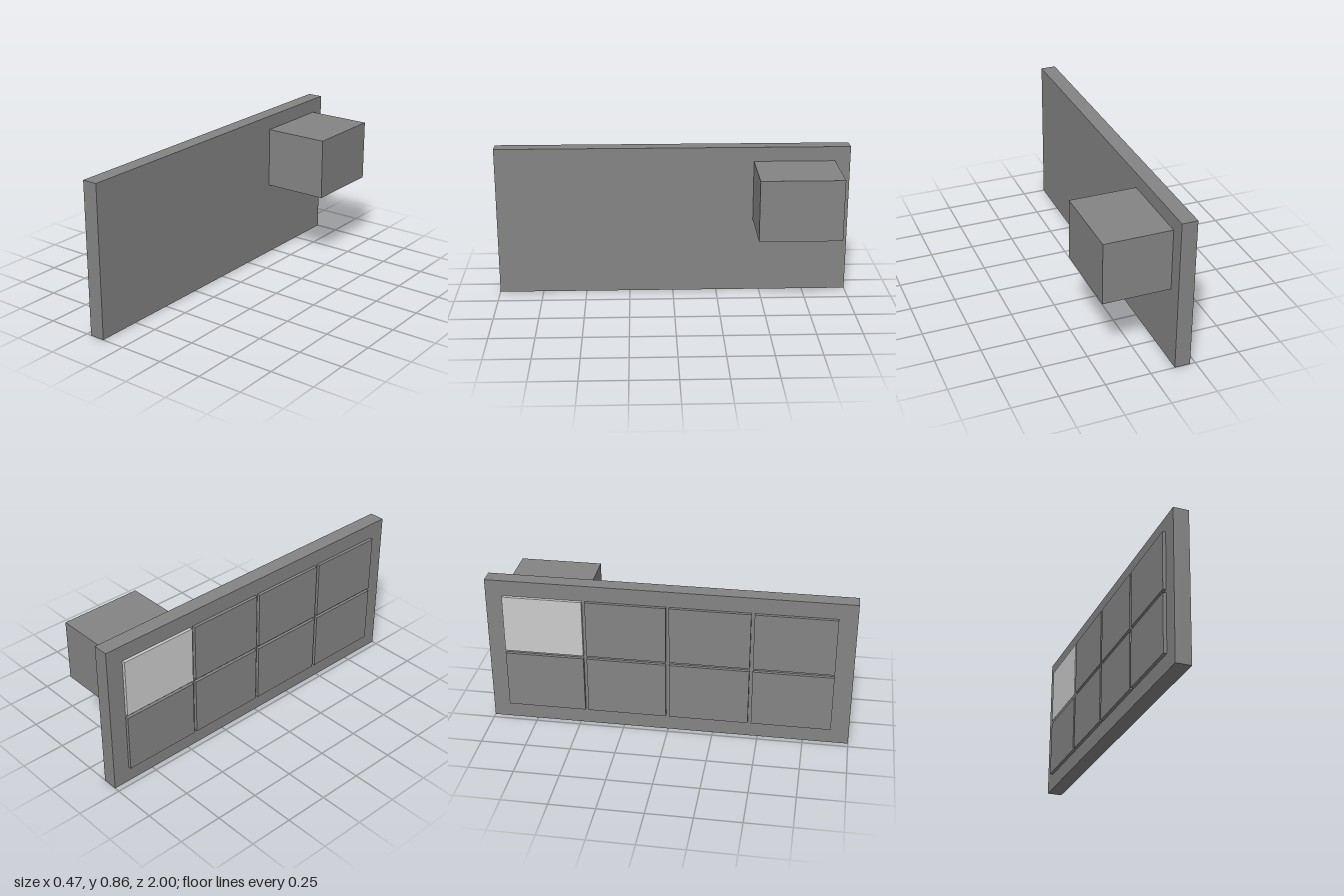
import * as THREE from 'three';

const darkGrey = new THREE.MeshStandardMaterial({ color: 0x848484 });
const lightGrey = new THREE.MeshStandardMaterial({ color: 0xcccccc });

// Box given by its [min, max] extent on each axis
function block(name, [x0, x1], [y0, y1], [z0, z1], material = darkGrey) {
  const mesh = new THREE.Mesh(new THREE.BoxGeometry(x1 - x0, y1 - y0, z1 - z0), material);
  mesh.position.set((x0 + x1) / 2, (y0 + y1) / 2, (z0 + z1) / 2);
  mesh.name = name;
  return mesh;
}

export function createModel() {
  const model = new THREE.Group();
  model.name = 'panelBoard';

  // Upright board and the box mounted on its left face
  model.add(block('board', [-0.22, -0.134], [0, 0.857], [-1, 1]));
  model.add(block('mountedBox', [-0.134, 0.237], [0.431, 0.775], [-0.914, -0.457]));

  // Two rows of four thin tiles; the upper rear one is lighter
  const tiles = new THREE.Group();
  tiles.name = 'tiles';
  const height = 0.329, width = 0.438;
  for (let row = 0; row < 2; row++) {
    for (let col = 0; col < 4; col++) {
      const y = 0.092 + row * 0.347;
      const z = -0.905 + col * 0.456;
      const lit = row === 1 && col === 0;
      tiles.add(block(lit ? 'lightTile' : 'tile', [-0.238, -0.22],
        [y, y + height], [z, z + width], lit ? lightGrey : darkGrey));
    }
  }
  model.add(tiles);
  return model;
}
